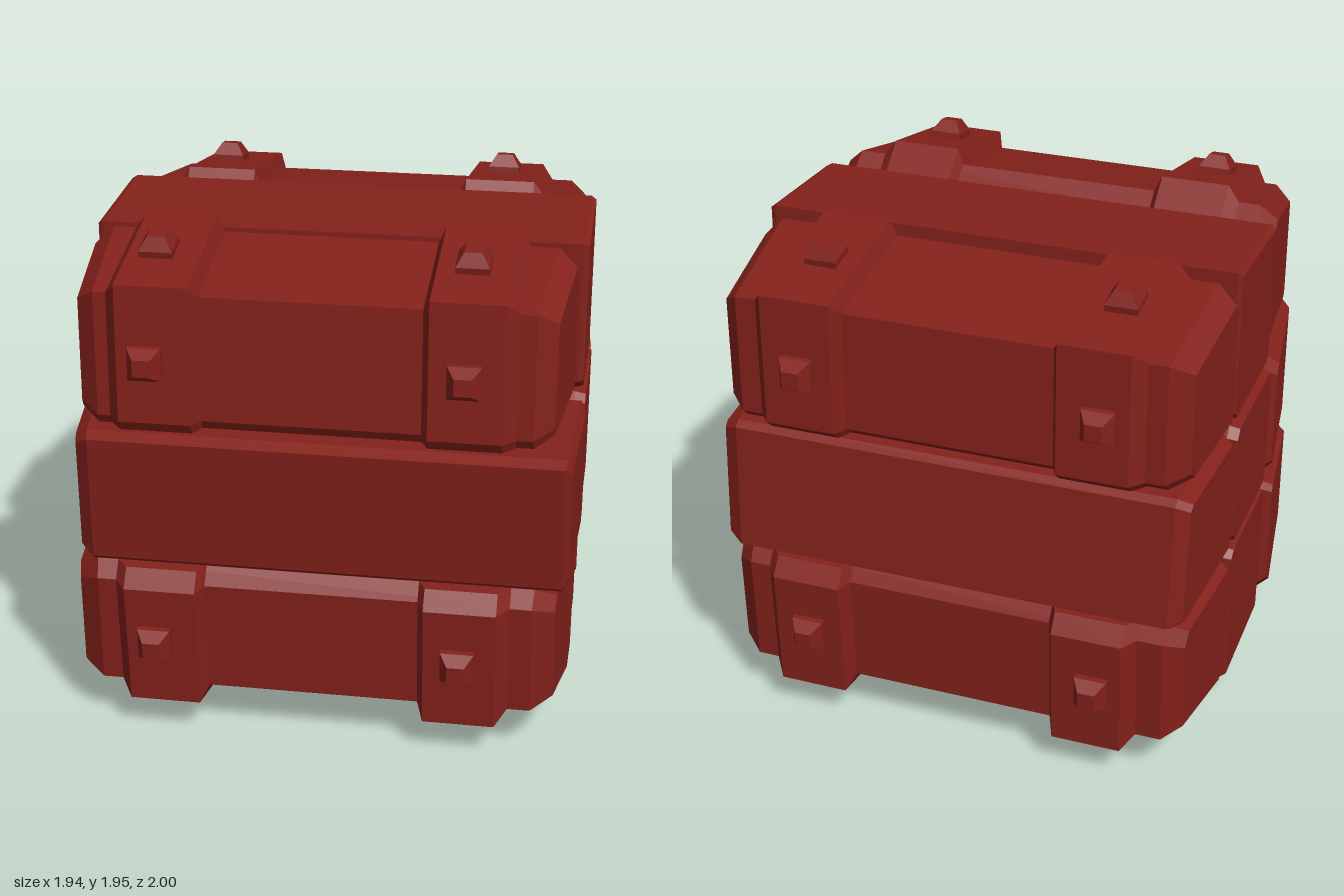
import * as THREE from 'three';

const wood = new THREE.MeshStandardMaterial({ color: 0x84211b, flatShading: true });

// Scale a [z, y] profile about an anchor
const scaled = (pts, k, a) => pts.map(([z, y]) => [a[0] + (z - a[0]) * k, a[1] + (y - a[1]) * k]);
const centre = pts => [0, 1].map(j => pts.reduce((s, p) => s + p[j], 0) / pts.length);

// Skin a list of sections { x, pts, taper } ordered by x, with capped ends
function loft(name, sections) {
  const first = sections[0].pts;
  const area = first.reduce((s, p, i) => {
    const q = first[(i + 1) % first.length];
    return s + q[0] * p[1] - p[0] * q[1];
  }, 0);
  const rings = sections.map(({ x, pts, taper = 0 }) => {
    const ring = pts.map(([z, y]) => [x * (1 - taper * z * z), y, z]);
    return area < 0 ? ring.reverse() : ring;
  });
  const out = [], n = first.length;
  const tri = (...v) => v.forEach(p => out.push(...p));
  for (let s = 0; s < rings.length - 1; s++) {
    for (let i = 0; i < n; i++) {
      const j = (i + 1) % n, a = rings[s], b = rings[s + 1];
      tri(a[i], a[j], b[j]);
      tri(a[i], b[j], b[i]);
    }
  }
  const lo = rings[0], hi = rings[rings.length - 1];
  for (let i = 1; i < n - 1; i++) {
    tri(lo[0], lo[i + 1], lo[i]);
    tri(hi[0], hi[i], hi[i + 1]);
  }
  const geo = new THREE.BufferGeometry();
  geo.setAttribute('position', new THREE.Float32BufferAttribute(out, 3));
  geo.computeVertexNormals();
  const mesh = new THREE.Mesh(geo, wood);
  mesh.name = name;
  return mesh;
}

// Plank along x; each end is { x, bevel, taper }, k is the end-face inset
function plank(name, pts, l, r, k) {
  const end = scaled(pts, k, centre(pts));
  return loft(name, [
    { x: l.x, pts: end, taper: l.taper },
    { x: l.x + l.bevel, pts, taper: l.taper },
    { x: r.x - r.bevel, pts, taper: r.taper },
    { x: r.x, pts: end, taper: r.taper },
  ]);
}
const end = (x, bevel, taper) => ({ x, bevel, taper });

// Square stud with a tapered head
function stud(x, p, q, t) {
  const h = 0.062 * Math.SQRT2;
  const profile = [[0, -0.03], [h, -0.03], [h, 0.025], [h * 0.52, 0.073], [0, 0.073]];
  const geo = new THREE.LatheGeometry(profile.map(v => new THREE.Vector2(...v)), 4);
  geo.rotateY(Math.PI / 4);
  const mesh = new THREE.Mesh(geo, wood);
  mesh.name = 'stud';
  const z = p[0] + (q[0] - p[0]) * t, y = p[1] + (q[1] - p[1]) * t;
  // Normal of the strap face, pointing away from the crate centre
  let nz = q[1] - p[1], ny = p[0] - q[0];
  if (nz * z + ny * (y - 1) < 0) { nz = -nz; ny = -ny; }
  mesh.position.set(x, y, z);
  mesh.rotation.x = Math.atan2(nz, ny);
  return mesh;
}

// Corner strap outlines; the first point is the outer edge of the crate
const corners = [
  { name: 'topFront', anchor: [0.27, 1.27], l: end(-0.91, 0.07, 0.08), r: end(0.93, 0.07, 0.09),
    pts: [[0.89, 1.82], [0.39, 1.93], [0.28, 1.84], [0.26, 1.29], [0.29, 1.26], [0.88, 1.26], [0.905, 1.3]] },
  { name: 'topBack', anchor: [-0.28, 1.27], l: end(-0.935, 0.08, 0.06), r: end(0.95, 0.06, 0.1),
    pts: [[-0.9, 1.82], [-0.32, 1.91], [-0.28, 1.86], [-0.27, 1.29], [-0.3, 1.26], [-0.86, 1.26], [-0.905, 1.3]] },
  { name: 'bottomFront', anchor: [0.27, 0.7], l: end(-0.98, 0.08, 0.12), r: end(0.96, 0.08, 0.08),
    pts: [[0.9, 0.14], [0.39, 0.02], [0.28, 0.1], [0.26, 0.67], [0.29, 0.7], [0.89, 0.7], [0.94, 0.63]] },
  { name: 'bottomBack', anchor: [-0.28, 0.7], l: end(-0.96, 0.07, 0.07), r: end(0.95, 0.07, 0.08),
    pts: [[-0.92, 0.14], [-0.37, 0.05], [-0.29, 0.1], [-0.28, 0.67], [-0.31, 0.7], [-0.89, 0.7], [-0.94, 0.63]] },
];

export function createModel() {
  const crate = new THREE.Group();
  crate.name = 'crate';

  // Corner planks, each with two raised straps and their studs
  for (const { name, anchor, l, r, pts } of corners) {
    crate.add(plank(name + 'Plank', scaled(pts, 0.91, anchor), l, r, 0.83));
    const base = scaled(pts, 0.9, anchor);
    for (const side of [-1, 1]) {
      const strap = [[0.4, base], [0.43, pts], [0.7, pts], [0.75, base]]
        .map(([x, p]) => ({ x: x * side, pts: p }));
      if (side < 0) strap.reverse();
      crate.add(loft(name + 'Strap', strap));
      const x = side < 0 ? -0.59 : 0.56;
      crate.add(stud(x, pts[0], pts[1], 0.5));
      crate.add(stud(x, pts[0], pts[6], 0.55));
    }
  }

  // Centre planks of the top, middle and bottom layers
  crate.add(plank('topCentrePlank',
    [[0.26, 1.85], [-0.27, 1.88], [-0.28, 1.3], [-0.25, 1.27], [0.23, 1.27], [0.26, 1.3]],
    end(-0.93, 0.02, 0.05), end(0.955, 0.02, 0.05), 0.97));
  crate.add(plank('middleCentrePlank',
    [[0.23, 1.25], [0.26, 1.22], [0.25, 0.75], [0.22, 0.72], [-0.25, 0.72], [-0.275, 0.75], [-0.3, 1.21], [-0.27, 1.25]],
    end(-0.95, 0.04, 0.05), end(0.965, 0.04, 0.05), 0.95));
  crate.add(plank('bottomCentrePlank',
    [[0.24, 0.1], [-0.27, 0.08], [-0.29, 0.67], [-0.26, 0.7], [0.22, 0.7], [0.26, 0.66]],
    end(-0.95, 0.03, 0.05), end(0.94, 0.03, 0.05), 0.95));

  // Front and back planks of the middle layer
  crate.add(plank('middleFrontPlank',
    [[0.93, 1.23], [0.88, 1.25], [0.32, 1.25], [0.27, 1.21], [0.26, 0.76], [0.31, 0.72], [0.86, 0.715], [0.885, 0.735]],
    end(-0.97, 0.05, 0.13), end(0.975, 0.02, 0.03), 0.87));
  crate.add(plank('middleBackPlank',
    [[-0.87, 1.23], [-0.84, 1.25], [-0.33, 1.25], [-0.3, 1.21], [-0.27, 0.76], [-0.31, 0.72], [-0.87, 0.715], [-0.91, 0.735]],
    end(-0.95, 0.05, 0.05), end(0.965, 0.06, 0.08), 0.89));

  // Solid core that closes the grooves
  const core = new THREE.Mesh(new THREE.BoxGeometry(1.64, 1.5, 1.5), wood);
  core.name = 'core';
  core.position.y = 0.98;
  crate.add(core);

  return crate;
}
